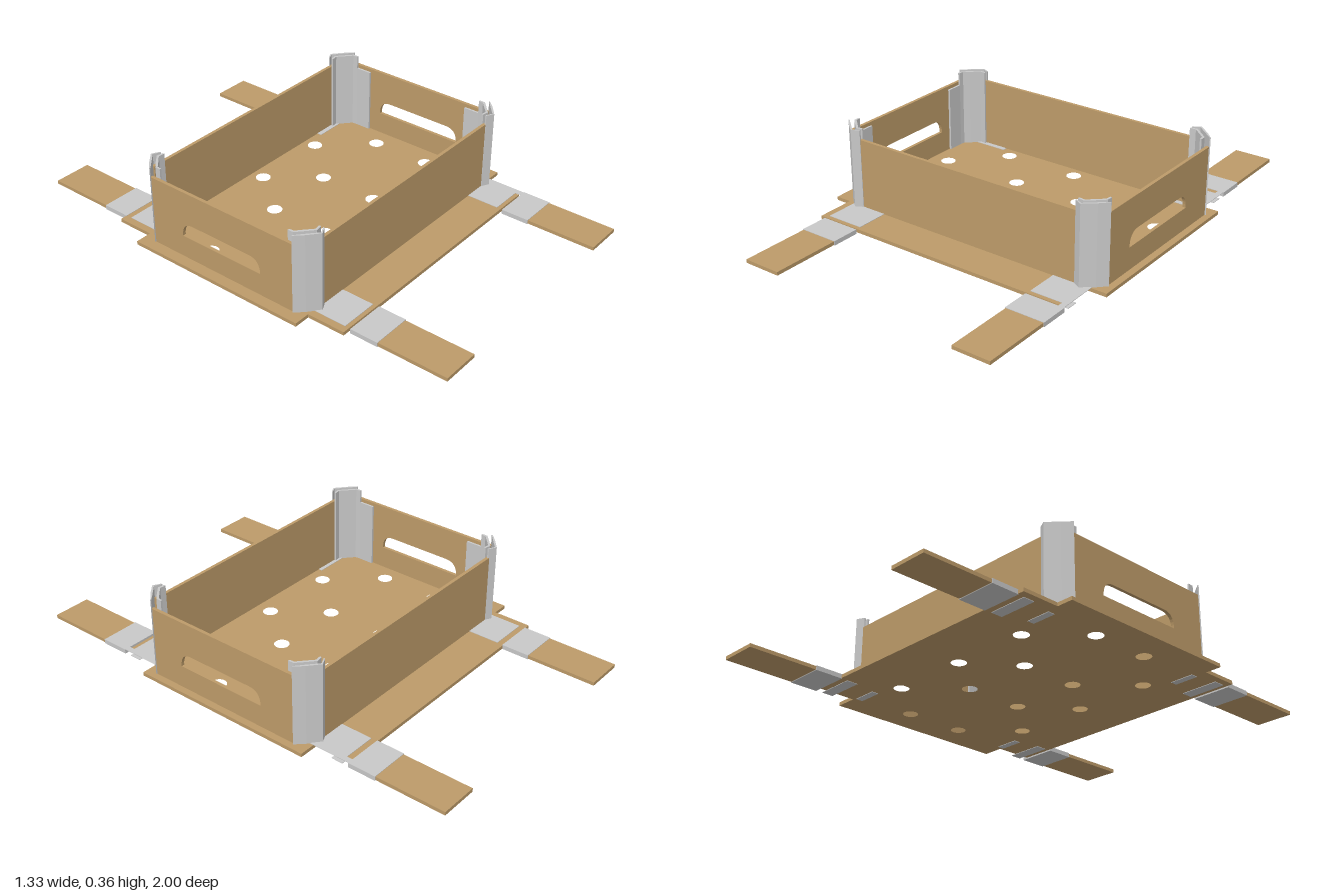
import * as THREE from 'three';

const cardboard = new THREE.MeshStandardMaterial({ color: 0xbd9b69 });
cardboard.name = 'cardboard';
const tape = new THREE.MeshStandardMaterial({ color: 0xc8c8c8 });
tape.name = 'greyTape';

const FLOOR = 0.017; // top of the base sheet
const WALL_TOP = 0.315;
const TAPE_TOP = 0.357;

export function createModel() {
  const model = new THREE.Group();
  model.name = 'cardboardTray';

  const add = (name, geometry, material) => {
    const mesh = new THREE.Mesh(geometry, material);
    mesh.name = name;
    model.add(mesh);
    return mesh;
  };
  // Box given by its limits on each axis
  const box = (name, material, x0, x1, y0, y1, z0, z1) => {
    const w = Math.abs(x1 - x0), d = Math.abs(z1 - z0);
    add(name, new THREE.BoxGeometry(w, y1 - y0, d), material)
      .position.set((x0 + x1) / 2, (y0 + y1) / 2, (z0 + z1) / 2);
  };
  // Plan outline of [x, z] points raised from y0 to y1
  const plan = (points, y0, y1, holes = []) => {
    const shape = new THREE.Shape(points.map(([x, z]) => new THREE.Vector2(x, -z)));
    for (const [x, z] of holes) {
      shape.holes.push(new THREE.Path().absarc(x, -z, 0.032, 0, Math.PI * 2, true));
    }
    return new THREE.ExtrudeGeometry(shape, { depth: y1 - y0, bevelEnabled: false, curveSegments: 10 })
      .rotateX(-Math.PI / 2).translate(0, y0, 0);
  };

  // Perforated base with a flap in front and behind
  const holes = [];
  for (const z of [-0.345, 0.325]) for (const x of [-0.345, 0, 0.345]) holes.push([x, z]);
  for (const z of [-0.145, 0.12]) for (const x of [-0.53, -0.155, 0.16, 0.53]) holes.push([x, z]);
  add('base', plan([
    [-0.67, -0.415], [-0.6, -0.415], [-0.6, -0.58], [0.57, -0.58], [0.57, -0.415], [0.662, -0.415],
    [0.662, 0.405], [0.57, 0.405], [0.57, 0.57], [-0.6, 0.57], [-0.6, 0.405], [-0.67, 0.405],
  ], 0.002, FLOOR, holes), cardboard);

  // Long walls
  box('frontWall', cardboard, -0.56, 0.57, FLOOR, WALL_TOP, 0.397, 0.411);
  box('backWall', cardboard, -0.56, 0.57, FLOOR, WALL_TOP, -0.415, -0.401);

  // End walls with a flat-bottomed hand hole
  const endWall = (name, x, z0, z1) => {
    const wall = new THREE.Shape([[-0.36, FLOOR], [0.36, FLOOR], [0.36, WALL_TOP], [-0.36, WALL_TOP]]
      .map(([a, b]) => new THREE.Vector2(a, b)));
    const grip = new THREE.Path();
    grip.moveTo(z0, 0.113);
    grip.quadraticCurveTo(z0, 0.175, z0 + 0.055, 0.175);
    grip.lineTo(z1 - 0.055, 0.175);
    grip.quadraticCurveTo(z1, 0.175, z1, 0.113);
    grip.closePath();
    wall.holes.push(grip);
    const geometry = new THREE.ExtrudeGeometry(wall, { depth: 0.014, bevelEnabled: false, curveSegments: 8 })
      .rotateY(-Math.PI / 2).translate(x + 0.007, 0, 0);
    add(name, geometry, cardboard);
  };
  endWall('leftWall', 0.626, -0.195, 0.213);
  endWall('rightWall', -0.616, -0.2, 0.195);

  // Folded tape around each corner: an outer and an inner sheet
  const outer = [[0.52, 0.413], [0.552, 0.43], [0.6, 0.39], [0.634, 0.355],
    [0.628, 0.355], [0.596, 0.382], [0.55, 0.422], [0.52, 0.407]];
  const inner = [[0.52, 0.397], [0.548, 0.402], [0.585, 0.37], [0.612, 0.345], [0.613, 0.32],
    [0.605, 0.32], [0.603, 0.341], [0.58, 0.361], [0.546, 0.392], [0.52, 0.389]];
  for (const sx of [-1, 1]) for (const sz of [-1, 1]) {
    const place = (points) => points.map(([x, z]) => [sx * x + 0.005, sz * z]);
    const side = (sx > 0 ? 'left' : 'right') + (sz > 0 ? 'Front' : 'Back');
    add(side + 'CornerTapeOuter', plan(place(outer), FLOOR, TAPE_TOP), tape);
    add(side + 'CornerTapeInner', plan(place(inner), FLOOR, TAPE_TOP), tape);
    // Tape end stuck to the inside of the end wall
    box(side + 'InnerWallTape', tape, sx * 0.605 + 0.005, sx * 0.614 + 0.005, FLOOR, 0.3, sz * 0.25, sz * 0.355);

    // Strip reaching outward, with its tape sleeve
    const x0 = sx > 0 ? 0.43 : -0.57, x1 = sx > 0 ? 0.595 : -0.405;
    box(side + 'Strip', cardboard, x0, x1, 0.002, FLOOR, sz * 0.58, sz);
    box(side + 'StripTape', tape, x0 - 0.003, x1 + 0.003, 0, 0.019, sz * 0.578, sz * 0.7);
    // Tape over the flap, and its patches beneath
    box(side + 'FlapTape', tape, x0, x1, FLOOR, 0.019, sz * 0.38, sz * 0.553);
    box(side + 'UnderTape', tape, x0, x1, 0, 0.002, sz * 0.5, sz * 0.55);
    box(side + 'UnderTapeEnd', tape, x0 + 0.02, x1 - 0.04, 0, 0.002, sz * 0.38, sz * 0.41);
    if (sx > 0) box(side + 'EdgeTape', tape, 0.571, x1, FLOOR, 0.019, sz * 0.553, sz * 0.578);
  }
  return model;
}
